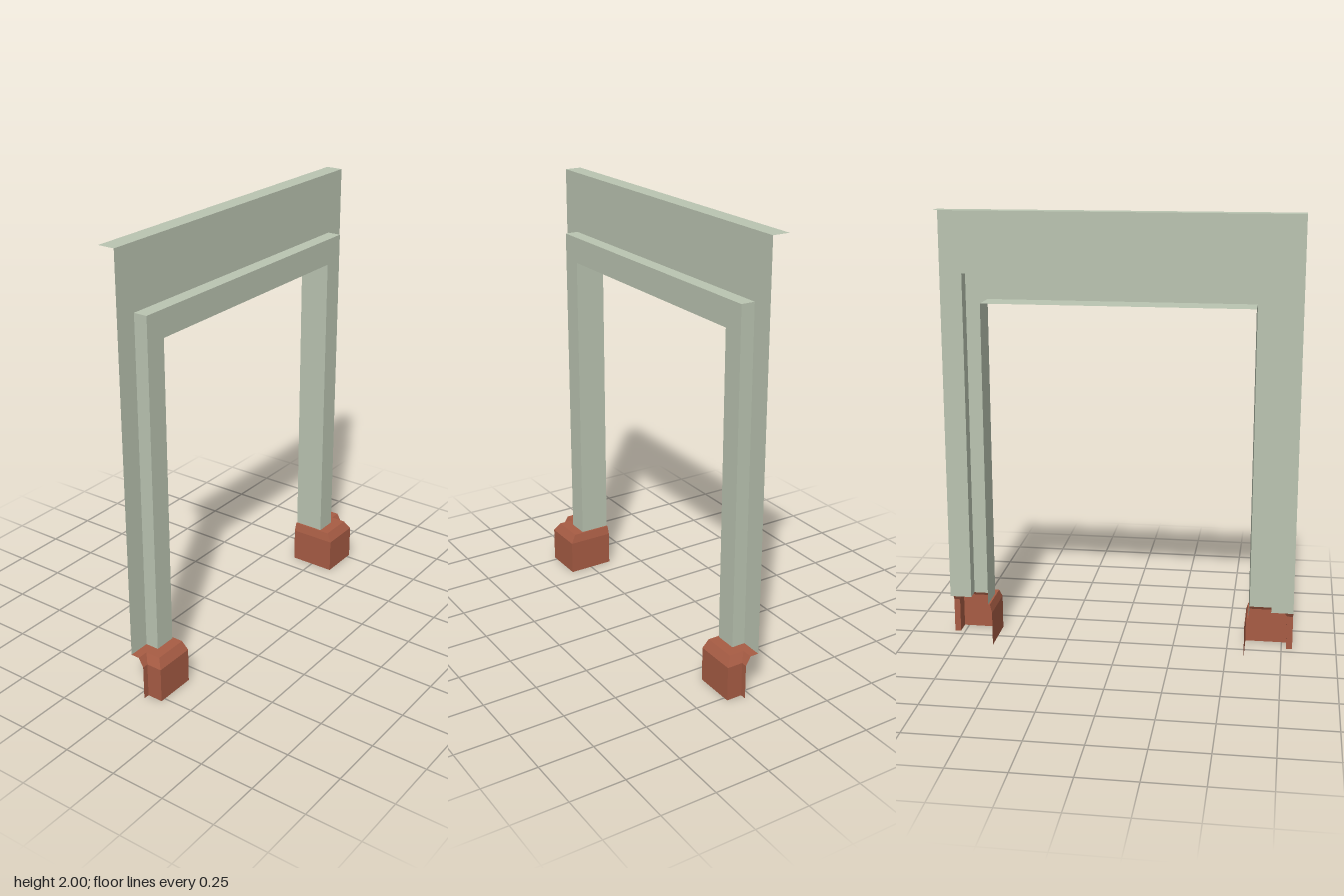
import * as THREE from 'three';

// Skin a grid of points (rows of equal length) with flat quads
function skin(rows) {
  const pos = [];
  for (let i = 0; i < rows.length - 1; i++) {
    for (let j = 0; j < rows[i].length - 1; j++) {
      const p = rows[i][j], q = rows[i + 1][j], r = rows[i + 1][j + 1], s = rows[i][j + 1];
      pos.push(...p, ...q, ...r, ...p, ...r, ...s);
    }
  }
  const geo = new THREE.BufferGeometry();
  geo.setAttribute('position', new THREE.Float32BufferAttribute(pos, 3));
  geo.computeVertexNormals();
  return geo;
}

export function createModel() {
  const group = new THREE.Group();
  const sage = new THREE.MeshStandardMaterial({ color: 0xbac4b1, side: THREE.DoubleSide });
  sage.name = 'sagePaint';
  const terracotta = new THREE.MeshStandardMaterial({ color: 0xa75c44, side: THREE.DoubleSide });
  terracotta.name = 'terracotta';

  const add = (name, geo, mat) => {
    const mesh = new THREE.Mesh(geo, mat);
    mesh.name = name;
    group.add(mesh);
  };

  const plinthTop = 0.2, wallX = -0.028, trimX = 0.035, backX = -0.106;

  // Door surround: stepped profile carried up, across and down the opening
  const profile = [ // x, half width, height
    [wallX, 0.8, 2], [wallX, 0.7, 1.72], [trimX, 0.7, 1.72], [trimX, 0.6, 1.6], [backX, 0.6, 1.6],
  ];
  add('doorSurround', skin(profile.map(([x, z, y]) => [
    [x, plinthTop, z], [x, y, z], [x, y, -z], [x, plinthTop, -z],
  ])), sage);

  // Flat cap along the top edge
  add('topCap', skin([
    [[backX, 2, 0.8], [backX, 2, -0.8]],
    [[wallX, 2, 0.8], [wallX, 2, -0.8]],
  ]), sage);

  // Plinths: stepped open shells with a chamfered top that meets the surround
  const outer = [[-0.108, 0.582], [0.108, 0.582], [0.108, 0.772], [0.035, 0.772], [0.035, 0.8]];
  const chamfer = [[backX, 0.592], [0.083, 0.592], [0.083, 0.749], [0.012, 0.749], [0.012, 0.8]];
  const inner = [[backX, 0.6], [trimX, 0.6], [trimX, 0.7], [wallX, 0.7], [wallX, 0.8]];
  for (const side of [1, -1]) {
    const ring = (pts, y) => {
      const row = pts.map(([x, z]) => [x, y, z * side]);
      return side > 0 ? row : row.reverse();
    };
    add(side > 0 ? 'frontPlinth' : 'backPlinth', skin([
      ring(outer, 0), ring(outer, 0.16), ring(chamfer, plinthTop), ring(inner, plinthTop),
    ]), terracotta);
  }
  return group;
}
